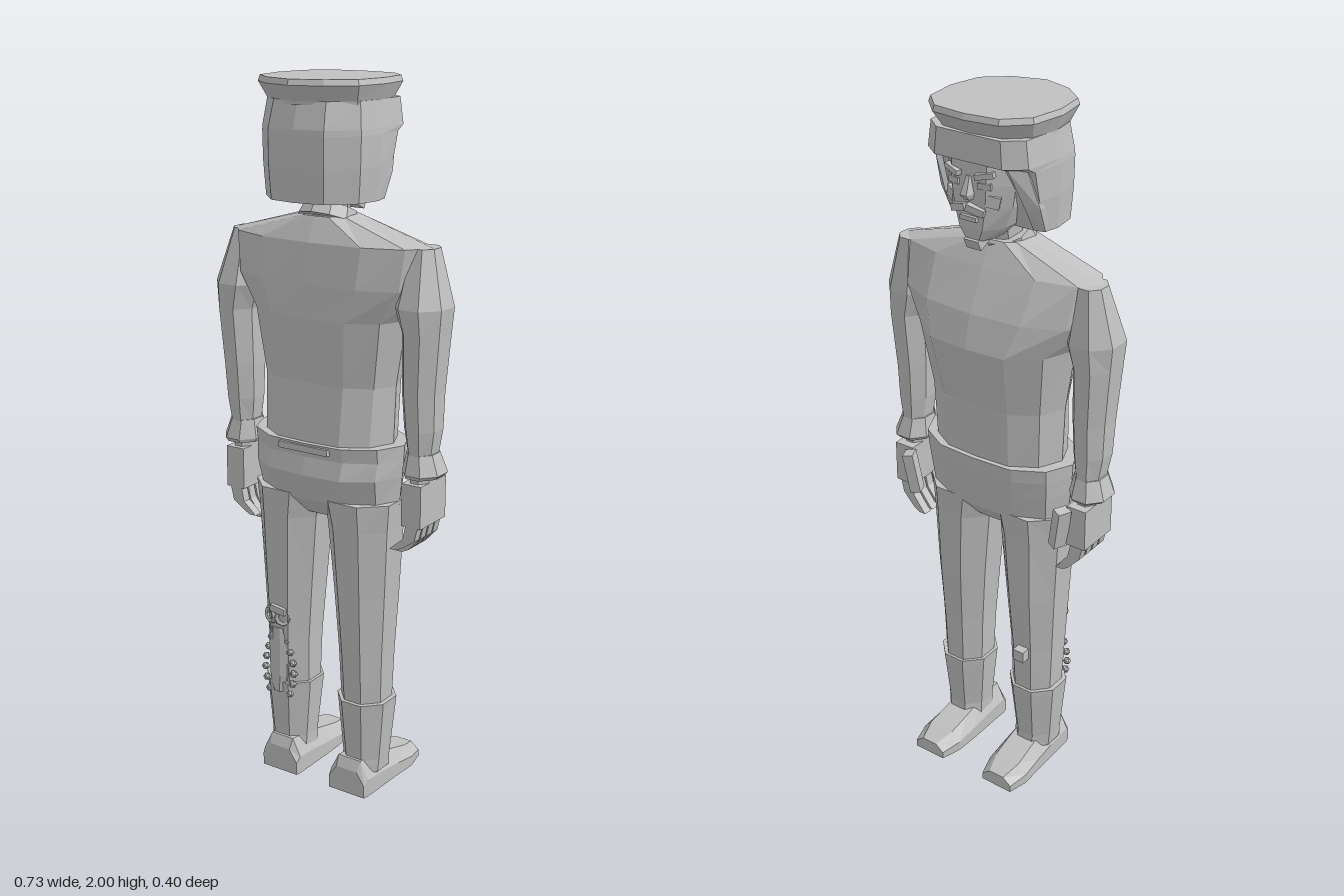
import * as THREE from 'three';

const material = new THREE.MeshStandardMaterial({ color: 0xc0c0c0, flatShading: true });
material.name = 'plain grey';

// Skin between equal-sized rings of points, with both ends capped
function loft(rings) {
  const n = rings[0].length, tris = [];
  const mid = r => r.reduce((s, p) => [s[0] + p[0] / n, s[1] + p[1] / n, s[2] + p[2] / n], [0, 0, 0]);
  const first = rings[0], last = rings[rings.length - 1], c0 = mid(first), c1 = mid(last);
  for (let j = 0; j < n; j++) {
    const k = (j + 1) % n;
    for (let i = 0; i < rings.length - 1; i++) {
      const a = rings[i][j], b = rings[i][k], c = rings[i + 1][k], d = rings[i + 1][j];
      tris.push([a, b, c], [a, c, d]);
    }
    tris.push([c0, first[k], first[j]], [c1, last[j], last[k]]);
  }
  // Turn the faces outward whichever way the rings run
  let volume = 0;
  for (const [a, b, c] of tris) {
    volume += a[0] * (b[1] * c[2] - b[2] * c[1]) + a[1] * (b[2] * c[0] - b[0] * c[2]) + a[2] * (b[0] * c[1] - b[1] * c[0]);
  }
  if (volume < 0) tris.forEach(t => t.reverse());
  const g = new THREE.BufferGeometry();
  g.setAttribute('position', new THREE.Float32BufferAttribute(tris.flat(2), 3));
  g.computeVertexNormals();
  return g;
}

function add(parent, name, geometry, pos = [0, 0, 0], rot = [0, 0, 0]) {
  const m = new THREE.Mesh(geometry, material);
  m.name = name;
  m.position.set(...pos);
  m.rotation.set(...rot);
  parent.add(m);
  return m;
}
const box = (w, h, d) => new THREE.BoxGeometry(w, h, d);

// Twelve-sided body ring: half width w, back depth b, front depth f, fullness s
function bodyRing(y, w, b, f, s = 0.95, cx = 0) {
  const half = [[0, 1], [0.5, s], [0.85, s * 0.62], [1, 0]];
  const right = half.map(([x, z]) => [x, z > 0 ? z * b : 0]);
  const front = half.slice(0, 3).reverse().map(([x, z]) => [x, z * f]);
  const side = [...right, ...front];
  const left = side.slice(1, 6).reverse().map(([x, z]) => [-x, z]);
  return [...side, ...left].map(([x, z]) => [cx + x * w, y, z]);
}

// Eight-sided limb ring
function limbRing(y, x0, x1, z0, z1) {
  const c = 0.42;
  const shape = [[1, c], [c, 1], [-c, 1], [-1, c], [-1, -c], [-c, -1], [c, -1], [1, -c]];
  return shape.map(([x, z]) => [(x0 + x1) / 2 + x * (x1 - x0) / 2, y, (z0 + z1) / 2 + z * (z1 - z0) / 2]);
}
const limb = (s, rows) => loft(rows.map(([y, x0, x1, z0, z1]) => limbRing(y, s * x0, s * x1, z0, z1)));

function addArm(root, s) {
  const arm = new THREE.Group();
  arm.name = s > 0 ? 'leftArm' : 'rightArm';
  root.add(arm);
  add(arm, 'sleeve', limb(s, [
    [1.58, 0.25, 0.322, -0.05, 0.035], [1.43, 0.22, 0.364, -0.075, 0.085], [1.36, 0.245, 0.358, -0.07, 0.08],
    [1.2, 0.245, 0.345, -0.06, 0.07], [1.1, 0.25, 0.342, -0.055, 0.06], [1.03, 0.26, 0.33, -0.05, 0.05],
  ]));
  add(arm, 'cuff', limb(s, [[1.035, 0.255, 0.335, -0.05, 0.05], [0.98, 0.245, 0.355, -0.068, 0.064], [0.97, 0.25, 0.345, -0.06, 0.06]]));
  add(arm, 'wrist', limb(s, [[0.99, 0.265, 0.325, -0.045, 0.045], [0.94, 0.265, 0.325, -0.045, 0.045]]));
  add(arm, 'palm', box(0.06, 0.12, 0.13), [s * 0.295, 0.895, -0.005]);
  add(arm, 'thumb', box(0.03, 0.12, 0.04), [s * 0.253, 0.89, -0.083], [0, s * 0.4, s * -0.18]);
  // Fingers curl towards the body
  for (let i = 0; i < 4; i++) {
    const z = -0.052 + i * 0.032, tip = i === 3 ? 0.76 : 0.745;
    const row = (y, x0, x1) => [[s * x0, y, z - 0.013], [s * x1, y, z - 0.013], [s * x1, y, z + 0.013], [s * x0, y, z + 0.013]];
    add(arm, 'finger', loft([row(0.85, 0.28, 0.318), row(0.795, 0.268, 0.305), row(tip + 0.01, 0.238, 0.268), row(tip, 0.228, 0.248)]));
  }
}

function addLeg(root, s) {
  const leg = new THREE.Group();
  leg.name = s > 0 ? 'leftLeg' : 'rightLeg';
  root.add(leg);
  add(leg, 'trouserLeg', limb(s, [
    [0.88, 0.0, 0.222, -0.098, 0.115], [0.8, 0.02, 0.215, -0.092, 0.108], [0.6, 0.038, 0.205, -0.085, 0.098],
    [0.42, 0.052, 0.196, -0.072, 0.088], [0.26, 0.058, 0.19, -0.065, 0.078],
  ]));
  add(leg, 'boot', limb(s, [[0.28, 0.048, 0.204, -0.074, 0.09], [0.26, 0.05, 0.202, -0.073, 0.088], [0.1, 0.065, 0.188, -0.055, 0.075], [0.06, 0.065, 0.185, -0.06, 0.08]]));
  // Shoe sections run from heel to toe
  const shoe = [[0.1, 0.058, 0.178, 0.075], [0.085, 0.055, 0.182, 0.105], [0, 0.055, 0.184, 0.095], [-0.07, 0.055, 0.186, 0.078], [-0.14, 0.058, 0.19, 0.06], [-0.2, 0.075, 0.176, 0.042]];
  add(leg, 'shoe', loft(shoe.map(([z, x0, x1, h]) => {
    const t = 0.026;
    return [[x0, 0], [x1, 0], [x1, h * 0.5], [x1 - t, h], [x0 + t, h], [x0, h * 0.5]].map(([x, y]) => [s * x, y, z]);
  })));
}

function addHead(root) {
  const head = new THREE.Group();
  head.name = 'head';
  root.add(head);
  add(head, 'neck', new THREE.CylinderGeometry(0.052, 0.06, 0.16, 8), [0, 1.66, 0.012], [-0.12, 0, 0]);
  add(head, 'collar', new THREE.CylinderGeometry(0.072, 0.082, 0.035, 10), [0, 1.645, 0.015], [-0.38, 0, 0]);
  // Hair: the front edge sweeps forward towards the brow
  const hair = [[1.69, 0.158, 0.17, -0.03], [1.78, 0.165, 0.175, -0.075], [1.86, 0.167, 0.175, -0.105], [1.875, 0.166, 0.174, -0.142], [1.945, 0.156, 0.155, -0.14]];
  add(head, 'hair', loft(hair.map(([y, w, b, f]) => {
    const side = [[0, b], [w * 0.52, b * 0.93], [w * 0.93, b * 0.55], [w, 0.02], [w * 0.93, f * 0.72], [w * 0.62, f]];
    return [...side, ...side.slice(1).reverse().map(([x, z]) => [-x, z])].map(([x, z]) => [x, y, z]);
  })));
  for (const s of [-1, 1]) {
    add(head, 'sideHair', loft([[1.69, -0.03, 0.15], [1.76, -0.075, 0.155], [1.87, -0.128, 0.14]].map(([y, f, w]) =>
      [[s * w, y, 0.02], [s * w, y, f * 0.7], [s * (w - 0.03), y, f], [s * 0.09, y, 0.02]])));
  }
  // Face
  const face = [[1.665, 0.035, -0.125, -0.04], [1.7, 0.07, -0.132, -0.03], [1.76, 0.095, -0.136, 0], [1.82, 0.105, -0.138, 0], [1.9, 0.108, -0.136, 0]];
  add(head, 'face', loft(face.map(([y, w, f, b]) =>
    [[-w, b], [w, b], [w, f * 0.62], [w * 0.5, f], [-w * 0.5, f], [-w, f * 0.62]].map(([x, z]) => [x, y, z]))));
  add(head, 'nose', loft([[1.84, 0.01, -0.142], [1.795, 0.02, -0.162], [1.78, 0.016, -0.148]].map(([y, w, f]) =>
    [[-w, y, -0.12], [w, y, -0.12], [w * 0.5, y, f], [-w * 0.5, y, f]])));
  add(head, 'mouth', box(0.05, 0.012, 0.02), [0, 1.73, -0.134]);
  add(head, 'beard', box(0.045, 0.03, 0.08), [0, 1.672, -0.09], [-0.45, 0, 0]);
  for (const s of [-1, 1]) {
    add(head, 'eyebrow', box(0.05, 0.014, 0.02), [s * 0.048, 1.848, -0.136], [0, s * -0.3, s * 0.2]);
    add(head, 'eye', box(0.036, 0.016, 0.012), [s * 0.046, 1.82, -0.134], [0, s * -0.25, 0]);
    add(head, 'moustache', box(0.05, 0.018, 0.022), [s * 0.024, 1.757, -0.142], [0, s * -0.2, s * -0.25]);
    add(head, 'cheek', box(0.035, 0.03, 0.02), [s * 0.062, 1.78, -0.12], [0, s * -0.5, 0.2]);
  }
  // Flat-topped cap with a flared band
  const crown = [[0, 0.197], [0.09, 0.168], [0.157, 0.11], [0.174, 0.012], [0.16, -0.09], [0.1, -0.15], [0, -0.162]];
  const outline = [...crown, ...crown.slice(1, 6).reverse().map(([x, z]) => [-x, z])];
  const capRing = (y, k, zk) => outline.map(([x, z]) => [x * k, y, 0.01 + (z - 0.01) * zk]);
  add(head, 'cap', loft([capRing(1.935, 0.9, 0.82), capRing(1.945, 0.9, 0.83), capRing(1.985, 1, 1), capRing(2, 0.97, 0.97)]));
}

// Small ornamental sheath behind one thigh, with its stud in front
function addSheath(root) {
  const sheath = new THREE.Group();
  sheath.name = 'sheath';
  root.add(sheath);
  add(sheath, 'sheathBody', loft([[0.25, 0.02], [0.3, 0.03], [0.4, 0.032], [0.45, 0.025]].map(([y, w]) => limbRing(y, -0.13 - w, -0.13 + w, 0.06, 0.095))));
  for (const s of [-1, 1]) {
    add(sheath, 'ring', new THREE.TorusGeometry(0.02, 0.008, 5, 8), [-0.13 + s * 0.022, 0.485, 0.09], [0, s * 0.4, 0]);
    for (let i = 0; i < 7; i++) {
      const w = 0.036 + 0.014 * Math.sin(i * 0.75);
      add(sheath, 'bead', new THREE.IcosahedronGeometry(0.012, 0), [-0.13 + s * w, 0.245 + i * 0.033, 0.08]);
    }
  }
  add(sheath, 'sheathCap', box(0.05, 0.02, 0.03), [-0.12, 0.51, 0.09], [0, 0, -0.15]);
  add(sheath, 'stud', box(0.035, 0.035, 0.045), [-0.13, 0.415, -0.078]);
}

export function createModel() {
  const root = new THREE.Group();
  root.name = 'figure';
  // Jacket
  add(root, 'torso', loft([
    bodyRing(1.02, 0.2, 0.125, -0.115), bodyRing(1.2, 0.207, 0.105, -0.125), bodyRing(1.38, 0.235, 0.125, -0.165),
    bodyRing(1.47, 0.3, 0.125, -0.14, 0.92), bodyRing(1.58, 0.315, 0.112, -0.085, 0.9), bodyRing(1.645, 0.08, 0.08, -0.05),
  ]));
  // Hips and belt line
  add(root, 'hips', loft([
    bodyRing(0.82, 0.17, 0.07, -0.06), bodyRing(0.87, 0.222, 0.112, -0.1), bodyRing(0.95, 0.23, 0.142, -0.115),
    bodyRing(1.0, 0.234, 0.13, -0.125), bodyRing(1.04, 0.236, 0.138, -0.13),
  ]));
  add(root, 'beltFold', box(0.16, 0.018, 0.02), [0, 1.025, 0.132]);
  for (const s of [-1, 1]) {
    addArm(root, s);
    addLeg(root, s);
  }
  addHead(root);
  addSheath(root);
  return root;
}
